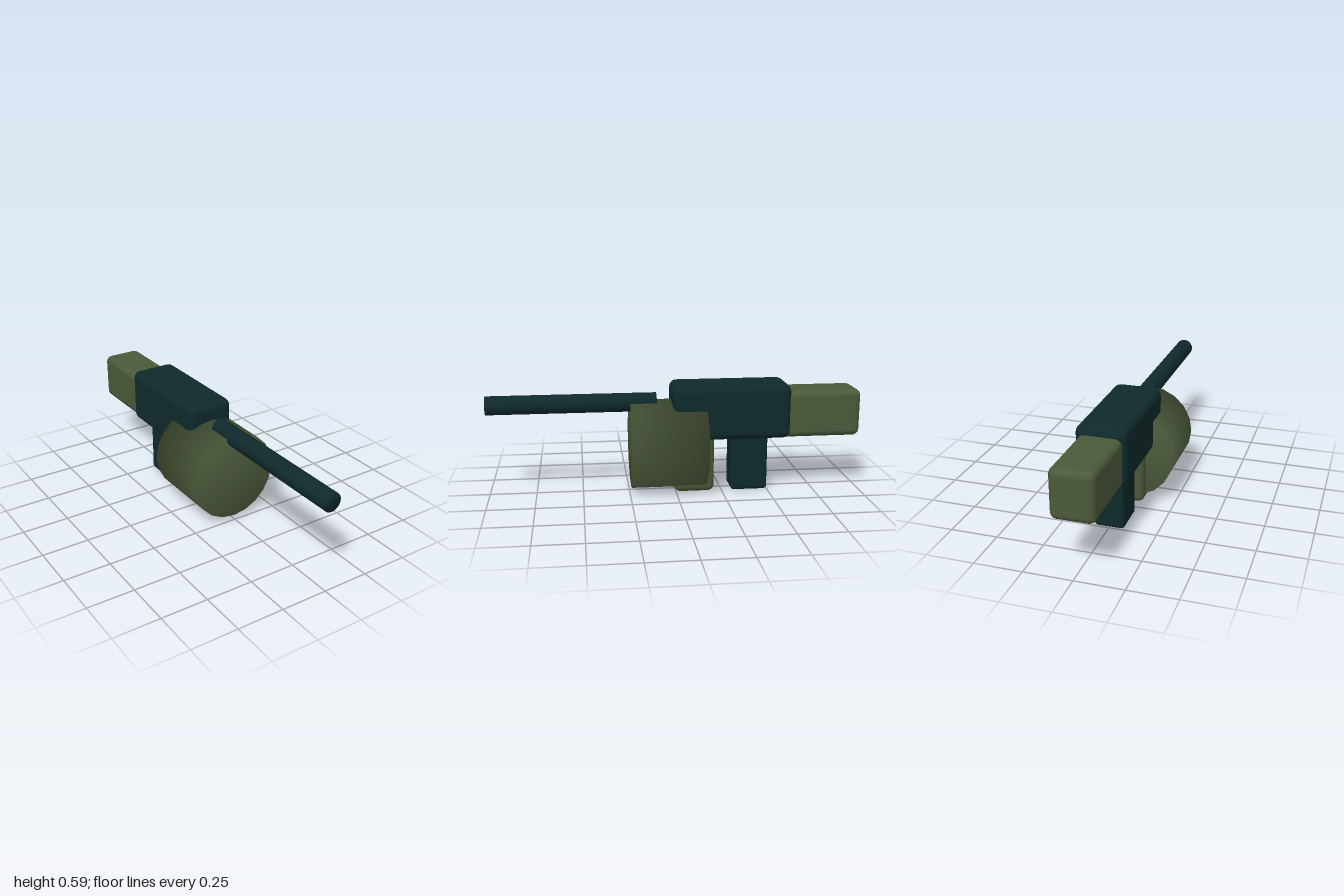
import * as THREE from 'three';
import { RoundedBoxGeometry } from 'three/addons/geometries/RoundedBoxGeometry.js';

export function createModel() {
  const model = new THREE.Group();
  const olive = new THREE.MeshStandardMaterial({ name: 'olive green', color: 0x4b5a3a });
  const dark = new THREE.MeshStandardMaterial({ name: 'dark teal', color: 0x0f2a2c });

  const add = (name, geometry, material, x, y, z) => {
    const mesh = new THREE.Mesh(geometry, material);
    mesh.name = name;
    mesh.position.set(x, y, z);
    model.add(mesh);
  };

  // Rounded block given by its width, y range and z range
  const block = (name, material, width, y0, y1, z0, z1, radius) =>
    add(name, new RoundedBoxGeometry(width, y1 - y0, z1 - z0, 3, radius), material,
      0, (y0 + y1) / 2, (z0 + z1) / 2);

  // Cylinder along z whose normals blend smoothly over the rims
  const rod = (name, material, radius, y, z0, z1, sides, axial) => {
    const geometry = new THREE.CylinderGeometry(radius, radius, z1 - z0, sides);
    geometry.rotateX(Math.PI / 2);
    const p = geometry.attributes.position;
    const n = new THREE.Vector3();
    for (let i = 0; i < p.count; i++) {
      n.set(p.getX(i) / radius, p.getY(i) / radius, Math.sign(p.getZ(i)) * axial).normalize();
      geometry.attributes.normal.setXYZ(i, n.x, n.y, n.z);
    }
    add(name, geometry, material, 0, y, (z0 + z1) / 2);
  };

  block('receiver', dark, 0.26, 0.295, 0.59, -0.615, 0.02, 0.04);
  block('stock', olive, 0.22, 0.295, 0.55, -1, -0.55, 0.035);
  block('grip', dark, 0.16, 0, 0.36, -0.5, -0.3, 0.02);
  block('magazineWell', olive, 0.18, 0, 0.36, -0.208, 0.01, 0.035);
  rod('drumMagazine', olive, 0.239, 0.26, -0.16, 0.24, 20, 3);
  rod('barrel', dark, 0.05, 0.49, 0.1, 1, 24, 0.15);

  return model;
}
